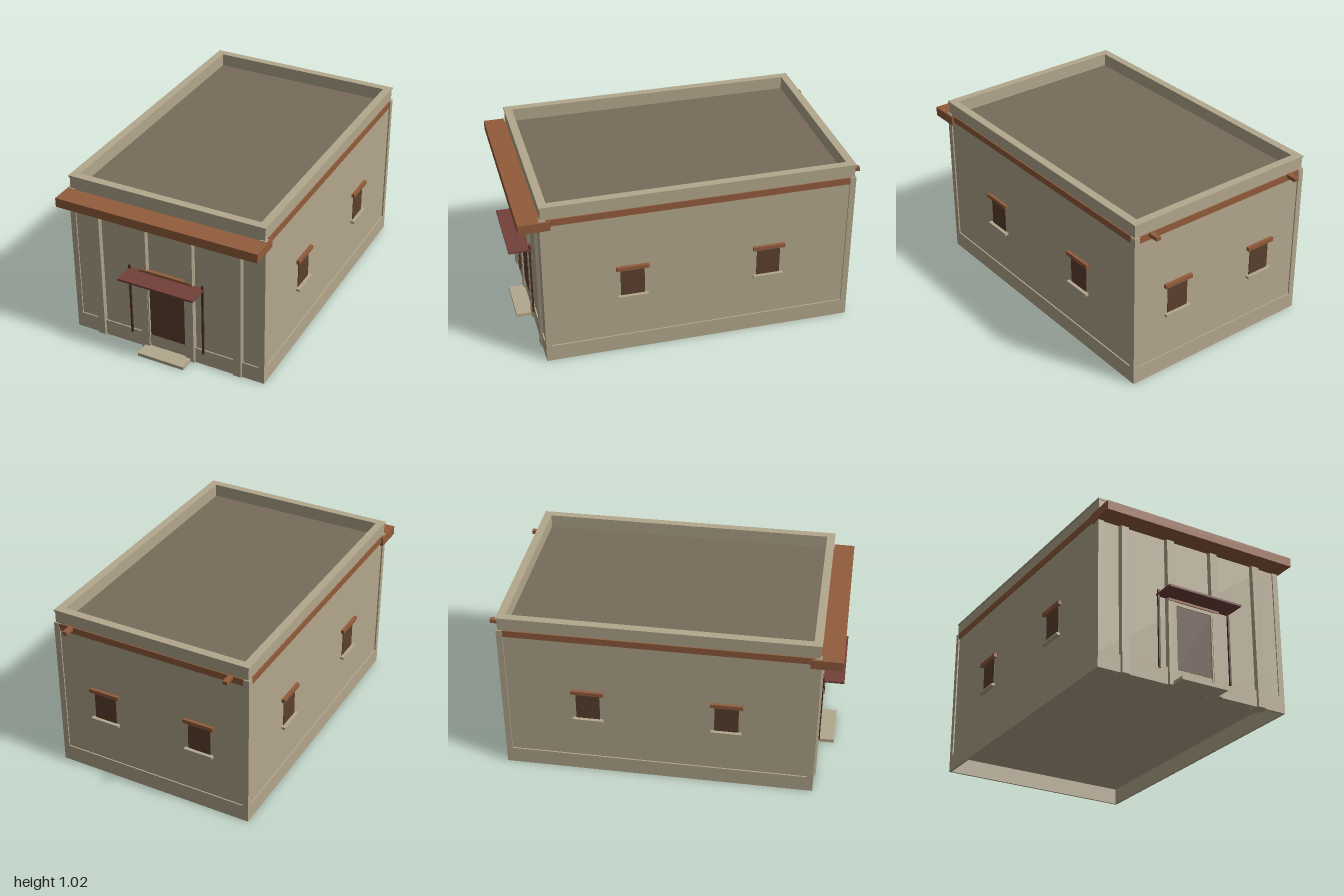
import * as THREE from 'three';

const mat = (name, color) => {
  const m = new THREE.MeshStandardMaterial({ color });
  m.name = name;
  return m;
};

export function createModel() {
  const adobe = mat('adobe', 0xb3a78d);
  const roofMat = mat('roof earth', 0x786b5b);
  const timber = mat('rust timber', 0x925c3b);
  const dark = mat('dark wood', 0x5b402f);
  const canopyMat = mat('canopy red', 0x74413a);
  const poleMat = mat('pole brown', 0x4d3020);

  const group = new THREE.Group();
  const CZ = -0.035;           // centre of the building in z
  const W = 0.605, D = 0.905;  // half sizes of the frame
  const w = 0.597, d = 0.8975; // half sizes of the recessed walls

  const add = (name, geo, material, parent = group) => {
    const mesh = new THREE.Mesh(geo, material);
    mesh.name = name;
    parent.add(mesh);
    return mesh;
  };
  // box from its min and max corners
  const box = (name, x0, x1, y0, y1, z0, z1, material, parent) => {
    const m = add(name, new THREE.BoxGeometry(x1 - x0, y1 - y0, z1 - z0), material, parent);
    m.position.set((x0 + x1) / 2, (y0 + y1) / 2, (z0 + z1) / 2);
    return m;
  };
  // rectangular ring wall, open at top and bottom
  const ring = (name, hx, hz, ix, iz, y0, y1) => {
    const rect = (P, a, b) => {
      const p = new P();
      p.moveTo(-a, -b); p.lineTo(a, -b); p.lineTo(a, b); p.lineTo(-a, b); p.closePath();
      return p;
    };
    const shape = rect(THREE.Shape, hx, hz);
    shape.holes.push(rect(THREE.Path, ix, iz));
    const geo = new THREE.ExtrudeGeometry(shape, { depth: y1 - y0, bevelEnabled: false });
    geo.rotateX(-Math.PI / 2);
    add(name, geo, adobe).position.set(0, y0, CZ);
  };

  // walls, plinth, parapet and roof
  box('walls', -w, w, 0.1, 0.94, CZ - d, CZ + d, adobe);
  ring('plinth', W, D, W - 0.012, D - 0.012, 0, 0.1);
  ring('parapet', w, d, 0.555, 0.855, 0.93, 1.01);
  ring('parapetCap', 0.602, 0.9025, 0.555, 0.855, 1.01, 1.02);
  box('roof', -0.556, 0.556, 0.936, 0.942, CZ - 0.856, CZ + 0.856, roofMat);

  for (const s of [-1, 1]) {
    // corner posts
    for (const t of [-1, 1]) {
      const post = add('cornerPost', new THREE.BoxGeometry(0.035, 0.84, 0.035), adobe);
      post.position.set(s * (W - 0.0175), 0.52, CZ + t * (D - 0.0175));
    }
    // timber bands on the long sides
    const band = add('sideBand', new THREE.BoxGeometry(0.02, 0.04, 1.735), timber);
    band.position.set(s * 0.5935, 0.92, -0.0385);
    // roof beam ends at the back
    box('beamEnd', s * 0.495 - 0.014, s * 0.495 + 0.014, 0.92, 0.942, -1, -0.9, timber);
    // half buried six-sided columns
    for (const x of [0.145, 0.44]) {
      const col = add('column', new THREE.CylinderGeometry(0.046, 0.046, 0.9, 6).toNonIndexed(), adobe);
      col.geometry.computeVertexNormals();
      col.rotation.y = Math.PI / 6;
      col.position.set(s * x, 0.45, 0.84);
    }
    // door jambs and canopy poles
    const jamb = add('doorJamb', new THREE.BoxGeometry(0.037, 0.5, 0.02), adobe);
    jamb.position.set(s * 0.1325, 0.25, 0.868);
    const pole = add('canopyPole', new THREE.BoxGeometry(0.011, 0.465, 0.011), poleMat);
    pole.position.set(s * 0.23, 0.315, 0.878);
  }
  box('backBand', -0.57, 0.57, 0.9, 0.94, CZ - 0.9035, CZ - 0.88, timber);
  box('frontBeam', -0.615, 0.615, 0.88, 0.935, 0.81, 0.988, timber);

  // entrance
  box('doorHead', -0.114, 0.114, 0.48, 0.5, 0.858, 0.878, adobe);
  box('door', -0.11, 0.11, 0.1, 0.48, 0.865, 0.872, dark);
  box('doorLintel', -0.165, 0.165, 0.5, 0.542, 0.855, 0.884, timber);
  box('canopy', -0.236, 0.236, 0.514, 0.526, 0.865, 1, canopyMat);
  box('doorStep', -0.147, 0.147, 0, 0.02, 0.86, 0.968, adobe);

  // windows, built facing +z on the wall surface and then turned
  const addWindow = (x, z, angle) => {
    const win = new THREE.Group();
    win.name = 'window';
    box('pane', -0.069, 0.069, 0.375, 0.547, -0.003, 0.003, dark, win);
    box('lintel', -0.094, 0.094, 0.547, 0.57, -0.01, 0.019, timber, win);
    box('sill', -0.088, 0.088, 0.36, 0.375, -0.01, 0.023, adobe, win);
    win.position.set(x, 0, z);
    win.rotation.y = angle;
    group.add(win);
  };
  for (const s of [-1, 1]) {
    for (const z of [0.36, -0.438]) addWindow(s * w, z, s * Math.PI / 2);
    addWindow(s * 0.3, CZ - d, Math.PI);
  }
  return group;
}
